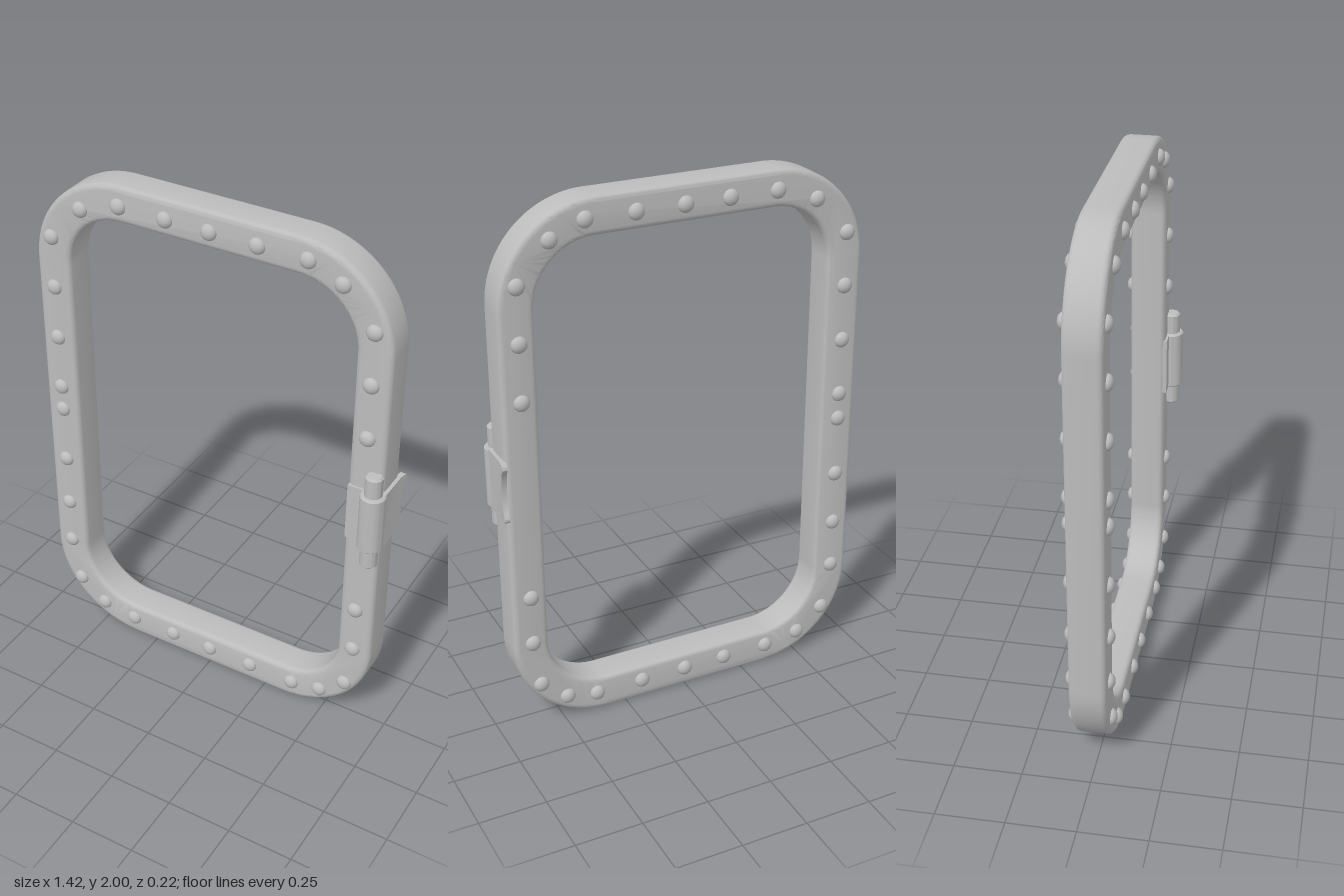
import * as THREE from 'three';
import { toCreasedNormals } from 'three/addons/utils/BufferGeometryUtils.js';

// Traces a rounded rectangle onto a Shape or Path
function roundedRect(path, x0, y0, x1, y1, r) {
  path.moveTo(x0 + r, y0);
  path.lineTo(x1 - r, y0);
  path.absarc(x1 - r, y0 + r, r, -Math.PI / 2, 0);
  path.lineTo(x1, y1 - r);
  path.absarc(x1 - r, y1 - r, r, 0, Math.PI / 2);
  path.lineTo(x0 + r, y1);
  path.absarc(x0 + r, y1 - r, r, Math.PI / 2, Math.PI);
  path.lineTo(x0, y0 + r);
  path.absarc(x0 + r, y0 + r, r, Math.PI, Math.PI * 1.5);
  return path;
}

export function createModel() {
  const model = new THREE.Group();
  const metal = new THREE.MeshStandardMaterial({ color: 0xbcbcbc });
  metal.name = 'grey metal';

  const add = (name, geometry, parent = model) => {
    const mesh = new THREE.Mesh(geometry, metal);
    mesh.name = name;
    parent.add(mesh);
    return mesh;
  };

  // Ring frame with softened edges
  const front = 0.049, back = -0.085, bevel = 0.02;
  const outline = roundedRect(new THREE.Shape(), -0.71, 0, 0.687, 2, 0.36);
  outline.holes.push(roundedRect(new THREE.Path(), -0.57, 0.137, 0.556, 1.864, 0.225));
  const frame = new THREE.ExtrudeGeometry(outline, {
    depth: front - back - 2 * bevel, bevelEnabled: true, bevelSize: bevel,
    bevelThickness: bevel, bevelOffset: -bevel, bevelSegments: 4, curveSegments: 20,
  });
  frame.translate(0, 0, back + bevel);
  add('frame', toCreasedNormals(frame, 0.6));

  // Rivets, repeated on the front and back faces
  const spots = [];
  for (const y of [0.37, 0.56, 0.772, 1.005, 1.106, 1.323, 1.534, 1.735]) spots.push([-0.64, y]);
  for (const y of [0.37, 0.56, 1.323, 1.534, 1.735]) spots.push([0.617, y]);
  for (const x of [-0.352, -0.167, 0.003, 0.185, 0.37]) spots.push([x, 0.077], [x, 1.927]);
  spots.push([-0.604, 0.185], [-0.494, 0.1], [0.49, 0.1], [0.592, 0.185], [-0.51, 1.875], [0.497, 1.875]);
  const rivets = new THREE.Group();
  rivets.name = 'rivets';
  model.add(rivets);
  const dome = new THREE.SphereGeometry(0.03, 16, 10);
  for (const [x, y] of spots) {
    for (const z of [front, back]) {
      const rivet = add('rivet', dome, rivets);
      rivet.position.set(x, y, z);
      rivet.scale.z = 0.73;
    }
  }

  // Hinge: barrel, pin and two leaves wrapping the frame
  const hinge = new THREE.Group();
  hinge.name = 'hinge';
  model.add(hinge);
  const rod = (name, r, h, e) => {
    const profile = [[0, -h], [r - e, -h], [r, -h + e], [r, h - e], [r - e, h], [0, h]];
    const lathe = new THREE.LatheGeometry(profile.map(([a, b]) => new THREE.Vector2(a, b)), 28);
    add(name, toCreasedNormals(lathe, 0.6), hinge).position.set(0.66, 1, 0.063);
  };
  rod('hingeBarrel', 0.046, 0.115, 0.006);
  rod('hingePin', 0.032, 0.195, 0.007);

  // Front leaf, lying on the frame face
  const frontLeaf = new THREE.BoxGeometry(0.1, 0.226, 0.016);
  add('frontLeaf', frontLeaf, hinge).position.set(0.61, 1, 0.05);

  // Side leaf with a scooped end and two flared horns; shape x runs backwards
  const leaf = new THREE.Shape();
  leaf.moveTo(-0.07, -0.115);
  leaf.lineTo(0.07, -0.115);
  leaf.quadraticCurveTo(0.085, -0.112, 0.1, -0.108);
  leaf.quadraticCurveTo(0.114, -0.1, 0.106, -0.086);
  leaf.bezierCurveTo(0.07, -0.045, 0.07, 0.045, 0.1, 0.085);
  leaf.quadraticCurveTo(0.118, 0.1, 0.1, 0.115);
  leaf.quadraticCurveTo(0.085, 0.115, 0.07, 0.115);
  leaf.lineTo(-0.07, 0.115);
  leaf.closePath();
  const sideLeaf = new THREE.ExtrudeGeometry(leaf, { depth: 0.02, bevelEnabled: false, curveSegments: 10 });
  sideLeaf.rotateY(Math.PI / 2);
  const p = sideLeaf.attributes.position;
  for (let i = 0; i < p.count; i++) {
    const flare = Math.max(0, -p.getZ(i) - 0.065) / 0.045;
    p.setX(i, p.getX(i) + 0.68 + 0.008 * flare);
  }
  add('sideLeaf', toCreasedNormals(sideLeaf, 0.6), hinge).position.y = 1;

  return model;
}
